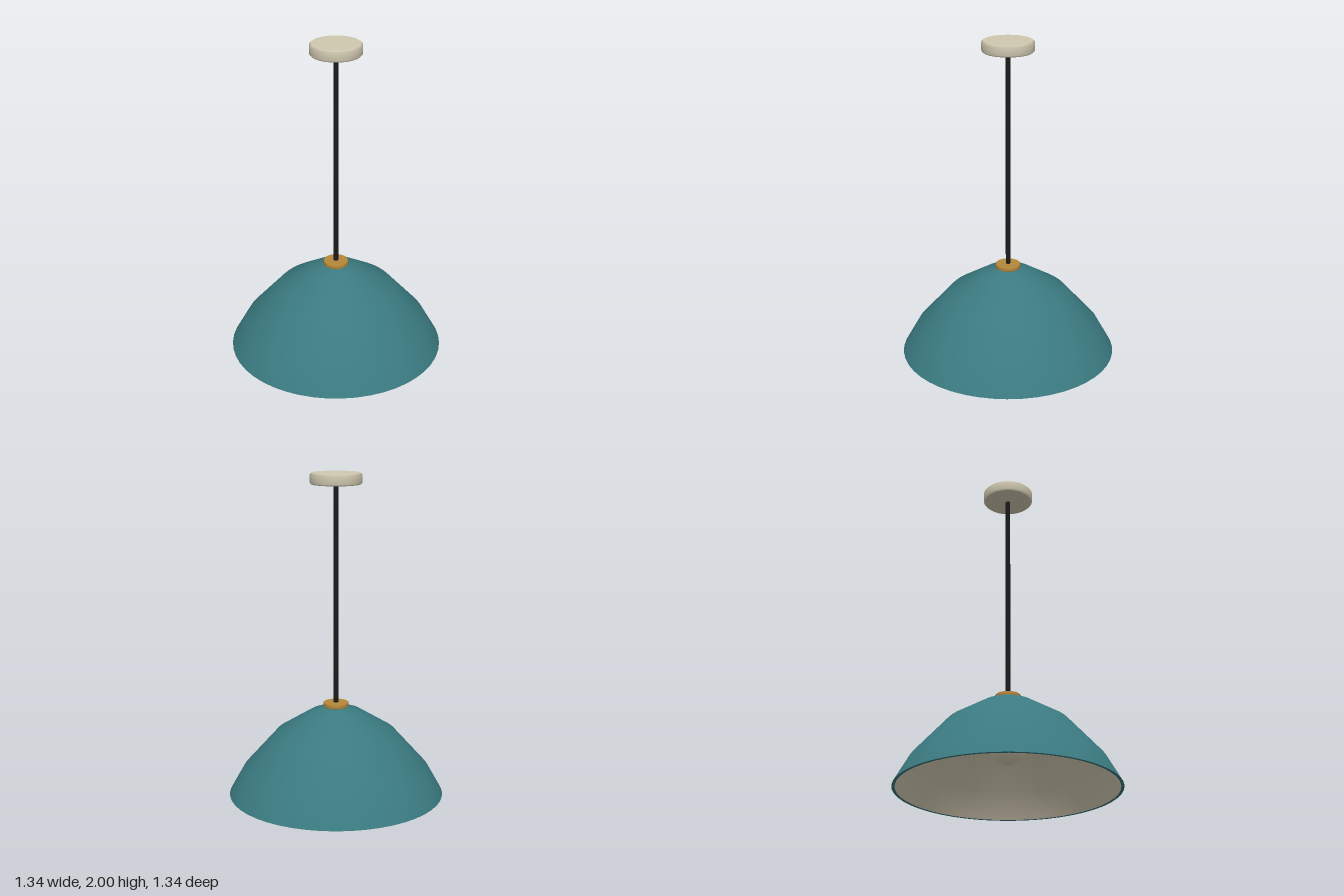
import * as THREE from 'three';
import { mergeGeometries } from 'three/addons/utils/BufferGeometryUtils.js';

const SEGMENTS = 48;

export function createModel() {
  const model = new THREE.Group();
  model.name = 'pendantLamp';

  const paint = (name, color) => {
    const material = new THREE.MeshStandardMaterial({ color });
    material.name = name;
    return material;
  };
  const teal = paint('teal enamel', 0x3a7a80);
  const cream = paint('cream', 0xd0c8b0);
  const brass = paint('brass', 0xb5883c);
  const black = paint('black cord', 0x1a1a1a);

  const add = (name, geometry, material) => {
    const mesh = new THREE.Mesh(geometry, material);
    mesh.name = name;
    model.add(mesh);
    return mesh;
  };

  // Turned part; each profile is smooth, edges between profiles stay sharp
  const turned = (name, material, ...profiles) =>
    add(name, mergeGeometries(profiles.map((points) =>
      new THREE.LatheGeometry(points.map(([r, y]) => new THREE.Vector2(r, y)), SEGMENTS))), material);

  // Flat-bottomed disc with a bevelled rim
  const disc = (name, material, radius, bottom, top, bevel) =>
    turned(name, material,
      [[0, bottom], [radius - bevel, bottom]],
      [[radius - bevel, bottom], [radius, bottom + bevel], [radius, top - bevel], [radius - bevel, top]],
      [[radius - bevel, top], [0, top]]);

  // Ceiling canopy and cord
  disc('ceilingCanopy', cream, 0.157, 1.93, 2, 0.01);
  add('cord', new THREE.CylinderGeometry(0.0145, 0.0145, 1.37, 16), black).position.y = 1.255;

  // Shade: outer skin with its rim, and a cream lining
  const outer = [[0.67, 0], [0.58, 0.16], [0.37, 0.395], [0.16, 0.525], [0.06, 0.56]];
  const inner = [[0.055, 0.545], [0.155, 0.51], [0.36, 0.382], [0.565, 0.152], [0.652, 0]];
  turned('shade', teal, outer, [[0.652, 0], [0.67, 0]]);
  turned('shadeLining', cream, inner);
  disc('shadeCap', brass, 0.078, 0.555, 0.583, 0.004);

  // Lamp holder and bulb
  add('bulbSocket', new THREE.CylinderGeometry(0.055, 0.055, 0.17, 24), brass).position.y = 0.475;
  const bulb = add('bulb', new THREE.SphereGeometry(0.115, 32, 20), cream);
  bulb.scale.y = 1.2;
  bulb.position.y = 0.285;

  return model;
}
